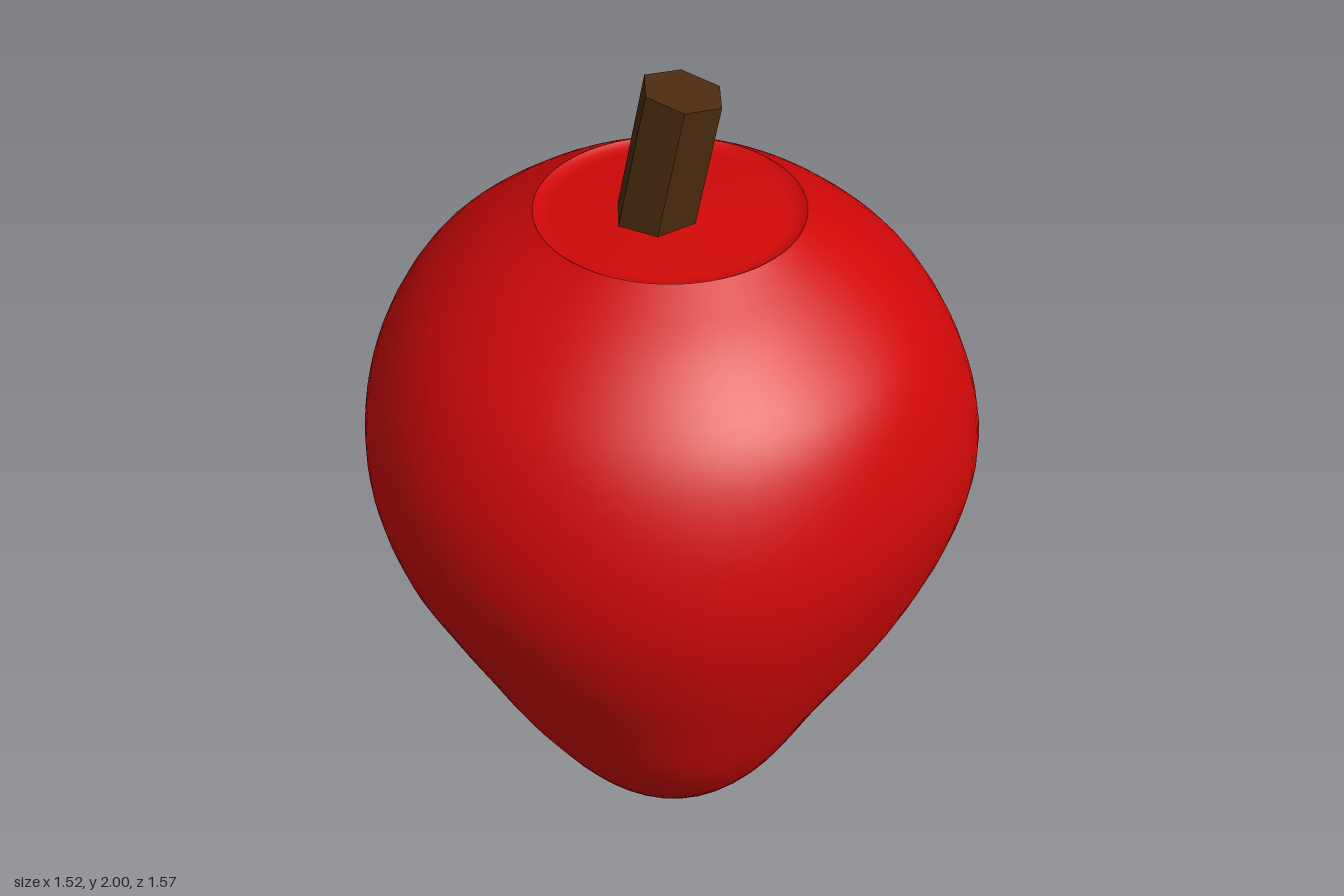
import * as THREE from 'three';

// Fruit cross-sections: height, then radius at eight angles from +x round through +z
const SECTIONS = [
  [0.03, 0.15, 0.16, 0.17, 0.17, 0.17, 0.17, 0.15, 0.16],
  [0.10, 0.30, 0.31, 0.38, 0.34, 0.33, 0.34, 0.30, 0.32],
  [0.20, 0.385, 0.40, 0.49, 0.43, 0.44, 0.45, 0.41, 0.43],
  [0.40, 0.51, 0.51, 0.625, 0.535, 0.565, 0.56, 0.565, 0.56],
  [0.60, 0.635, 0.62, 0.70, 0.64, 0.655, 0.66, 0.67, 0.66],
  [0.80, 0.725, 0.69, 0.76, 0.74, 0.72, 0.735, 0.755, 0.715],
  [1.00, 0.757, 0.73, 0.787, 0.787, 0.76, 0.777, 0.787, 0.73],
  [1.20, 0.72, 0.715, 0.757, 0.77, 0.74, 0.765, 0.753, 0.70],
  [1.40, 0.62, 0.64, 0.665, 0.675, 0.64, 0.665, 0.66, 0.62],
  [1.55, 0.475, 0.48, 0.51, 0.515, 0.495, 0.495, 0.49, 0.47],
  [1.66, 0.31, 0.32, 0.33, 0.334, 0.33, 0.32, 0.31, 0.306],
];
const AROUND = 64;
const UP = 48;

// Radius of a section at step i of the way round, smoothly interpolated
function radiusAt(radii, i) {
  const t = (i / AROUND) * 8;
  const k = Math.floor(t);
  const f = t - k;
  const [a, b, c, d] = [k + 7, k, k + 1, k + 2].map((n) => radii[n % 8]);
  return b + 0.5 * f * (c - a + f * (2 * a - 5 * b + 4 * c - d + f * (3 * (b - c) + d - a)));
}

function fruitGeometry() {
  const positions = [];
  const index = [];
  for (let i = 0; i < AROUND; i++) {
    // Smooth rib from the bottom tip up to the rim
    const angle = (i / AROUND) * Math.PI * 2;
    const rib = new THREE.CatmullRomCurve3([
      new THREE.Vector3(-0.01, 0.003, 0.005),
      ...SECTIONS.map(([y, ...radii]) => {
        const r = radiusAt(radii, i);
        return new THREE.Vector3(r * Math.cos(angle), y, r * Math.sin(angle));
      }),
    ]);
    for (let j = 0; j <= UP; j++) {
      positions.push(...rib.getPoint(j / UP).toArray());
      if (j === UP) continue;
      const a = i * (UP + 1) + j;
      const b = ((i + 1) % AROUND) * (UP + 1) + j;
      if (j > 0) index.push(a, a + 1, b);
      index.push(a + 1, b + 1, b);
    }
  }
  const geometry = new THREE.BufferGeometry();
  geometry.setAttribute('position', new THREE.Float32BufferAttribute(positions, 3));
  geometry.setIndex(index);
  geometry.computeVertexNormals();
  return geometry;
}

export function createModel() {
  const group = new THREE.Group();
  const red = new THREE.MeshStandardMaterial({ color: 0xd00808 });
  const redInside = new THREE.MeshStandardMaterial({ color: 0xd00808, side: THREE.DoubleSide });
  const brown = new THREE.MeshStandardMaterial({ color: 0x4d2c10, flatShading: true });

  const add = (name, geometry, material) => {
    const mesh = new THREE.Mesh(geometry, material);
    mesh.name = name;
    group.add(mesh);
    return mesh;
  };

  // Lopsided body
  add('fruitBody', fruitGeometry(), red);

  // Shallow dish closing the top
  const dishProfile = [[0.321, 1.66], [0.305, 1.65], [0.28, 1.648], [0.16, 1.662], [0, 1.674]];
  const dish = add('topDish', new THREE.LatheGeometry(
    dishProfile.map(([r, y]) => new THREE.Vector2(r, y)), AROUND), redInside);
  dish.position.set(-0.01, 0, 0.01);

  // Leaning six-sided stem, running down into the body
  const base = new THREE.Vector3(-0.055, 1.6, 0.043);
  const tip = new THREE.Vector3(0.018, 1.984, 0.043);
  const stem = add('stem', new THREE.CylinderGeometry(0.1, 0.1, base.distanceTo(tip), 6), brown);
  stem.position.copy(base).lerp(tip, 0.5);
  stem.quaternion.setFromUnitVectors(new THREE.Vector3(0, 1, 0), tip.clone().sub(base).normalize());

  return group;
}
